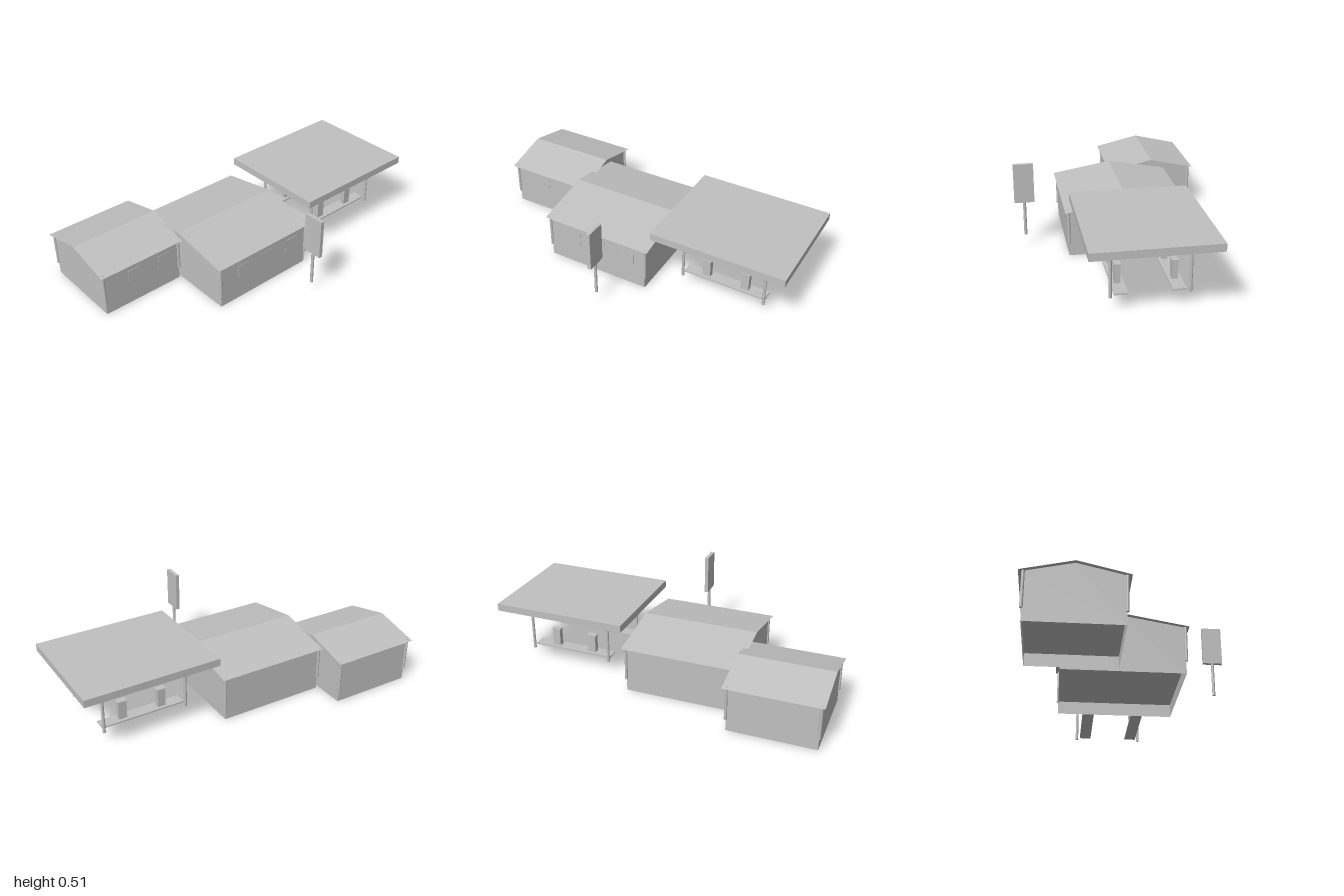
import * as THREE from 'three';

export function createModel() {
  const model = new THREE.Group();
  const grey = new THREE.MeshStandardMaterial({ color: 0xc0c0c0, side: THREE.DoubleSide });
  grey.name = 'plain grey';

  const GROUND = 0.077; // walls sink below this level

  const add = (parent, name, geometry, x = 0, y = 0, z = 0) => {
    const mesh = new THREE.Mesh(geometry, grey);
    mesh.name = name;
    mesh.position.set(x, y, z);
    parent.add(mesh);
    return mesh;
  };
  // box given by its limits on each axis
  const block = (parent, name, [x0, x1], [y0, y1], [z0, z1]) =>
    add(parent, name, new THREE.BoxGeometry(x1 - x0, y1 - y0, z1 - z0),
      (x0 + x1) / 2, (y0 + y1) / 2, (z0 + z1) / 2);
  // round upright post
  const post = (parent, name, x, z, y0, y1, r = 0.0085) =>
    add(parent, name, new THREE.CylinderGeometry(r, r, y1 - y0, 10), x, (y0 + y1) / 2, z);
  const group = (name, x = 0, z = 0) => {
    const g = new THREE.Group();
    g.name = name;
    g.position.set(x, 0, z);
    model.add(g);
    return g;
  };

  // Gabled building: open shell, raised floor, sheet roof, corner downpipes, windows
  function building(name, { x, z, width, depth, roofWidth, roofDepth, base, windows }) {
    const g = group(name, x, z);
    const eave = 0.275, ridge = 0.334;
    const hw = width / 2, hd = depth / 2;
    const slope = (ridge - eave) / hd;

    const gable = new THREE.Shape([[-hd, base], [hd, base], [hd, eave], [0, ridge - 0.001], [-hd, eave]]
      .map(([a, b]) => new THREE.Vector2(a, b)));
    for (const s of [1, -1]) {
      const long = add(g, s > 0 ? 'frontWall' : 'backWall',
        new THREE.PlaneGeometry(width, eave - base), 0, (eave + base) / 2, s * hd);
      if (s < 0) long.rotation.y = Math.PI;
      const end = add(g, s > 0 ? 'leftGableWall' : 'rightGableWall',
        new THREE.ShapeGeometry(gable), s * hw);
      end.rotation.y = -s * Math.PI / 2;
      if (s > 0) end.rotation.y = Math.PI / 2;
      for (const t of [1, -1]) post(g, 'downpipe', s * (hw + 0.001), t * (hd + 0.001), GROUND - 0.003, eave);
    }
    add(g, 'floor', new THREE.PlaneGeometry(width, depth).rotateX(Math.PI / 2), 0, GROUND, 0);

    // roof sheet folded along the ridge
    let roof = new THREE.PlaneGeometry(roofWidth, roofDepth, 1, 2).rotateX(-Math.PI / 2);
    const p = roof.attributes.position;
    for (let i = 0; i < p.count; i++) p.setY(i, ridge - slope * Math.abs(p.getZ(i)));
    roof = roof.toNonIndexed();
    roof.computeVertexNormals();
    add(g, 'roof', roof);

    for (const wx of windows) {
      block(g, 'window', [wx - x - 0.04, wx - x + 0.04], [0.145, 0.22], [hd, hd + 0.002]);
    }
  }

  building('mainBuilding', {
    x: -0.145, z: -0.042, width: 0.64, depth: 0.676, roofWidth: 0.686, roofDepth: 0.717,
    base: 0, windows: [-0.3, -0.13, 0.06],
  });
  building('rearBuilding', {
    x: -0.73, z: -0.318, width: 0.498, depth: 0.5, roofWidth: 0.541, roofDepth: 0.55,
    base: 0.003, windows: [-0.78, -0.58],
  });

  // Forecourt canopy on four posts
  const canopy = group('canopy');
  block(canopy, 'canopyRoof', [0.207, 1], [0.361, 0.404], [-0.378, 0.296]);
  for (const x of [0.356, 0.853]) {
    for (const z of [0.169, -0.246]) post(canopy, 'canopyPost', x, z, 0.079, 0.361);
  }

  // Two islands with two pumps each
  const islands = group('pumpIslands');
  for (const z of [0.114, -0.19]) {
    block(islands, 'island', [0.356, 0.853], [0.09, 0.099], [z - 0.036, z + 0.036]);
    for (const x of [0.484, 0.721]) {
      block(islands, 'pumpBody', [x - 0.024, x + 0.024], [0.099, 0.203], [z - 0.016, z + 0.016]);
      block(islands, 'pumpCap', [x - 0.028, x + 0.028], [0.203, 0.209], [z - 0.019, z + 0.019]);
    }
  }

  // Roadside sign
  const sign = group('roadSign', 0, 0.535);
  post(sign, 'signPole', 0, 0, 0.076, 0.282, 0.009);
  block(sign, 'signPanel', [-0.011, 0.011], [0.281, 0.515], [-0.058, 0.058]);

  return model;
}
